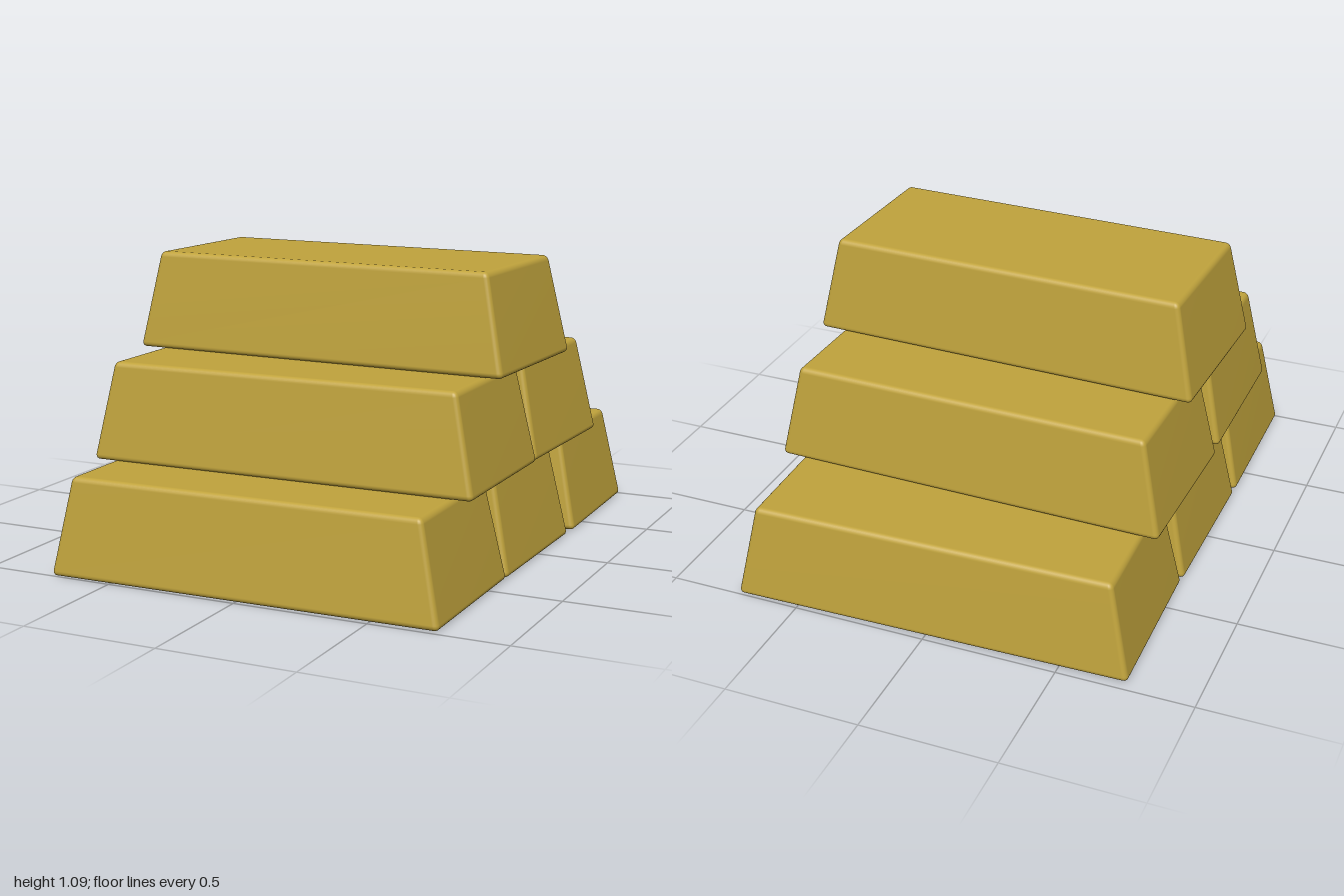
import * as THREE from 'three';
import { RoundedBoxGeometry } from 'three/addons/geometries/RoundedBoxGeometry.js';
import { mergeVertices } from 'three/addons/utils/BufferGeometryUtils.js';

const LENGTH = 1.49, HEIGHT = 0.363, WIDTH = 0.645;

// Softly rounded ingot: a rounded box drawn in towards its top
function ingotGeometry() {
  const box = new RoundedBoxGeometry(LENGTH, HEIGHT, WIDTH, 3, 0.02);
  box.deleteAttribute('normal');
  box.deleteAttribute('uv');
  const geo = mergeVertices(box, 1e-5);
  const p = geo.attributes.position;
  for (let i = 0; i < p.count; i++) {
    const t = p.getY(i) / HEIGHT + 0.5;
    p.setX(i, p.getX(i) * (1 - 0.103 * t));
    p.setZ(i, p.getZ(i) * (1 - 0.11 * t));
  }
  geo.clearGroups();
  geo.computeVertexNormals();
  return geo;
}

export function createModel() {
  const model = new THREE.Group();
  model.name = 'ingotStack';
  const gold = new THREE.MeshStandardMaterial({ color: 0xc0a33c });
  const geo = ingotGeometry();

  // Each layer from the ground up: [name, z, slight turn]
  const layers = [
    [['bottomFrontIngot', 0.673, 0.01], ['bottomMiddleIngot', 0.015, -0.006], ['bottomBackIngot', -0.662, 0.021]],
    [['middleFrontIngot', 0.382, 0.005], ['middleBackIngot', -0.29, -0.026]],
    [['topIngot', 0.057, -0.037]],
  ];
  layers.forEach((layer, level) => {
    for (const [name, z, turn] of layer) {
      const ingot = new THREE.Mesh(geo, gold);
      ingot.name = name;
      ingot.position.set(0, HEIGHT * (level + 0.5), z);
      ingot.rotation.y = turn;
      model.add(ingot);
    }
  });
  return model;
}
